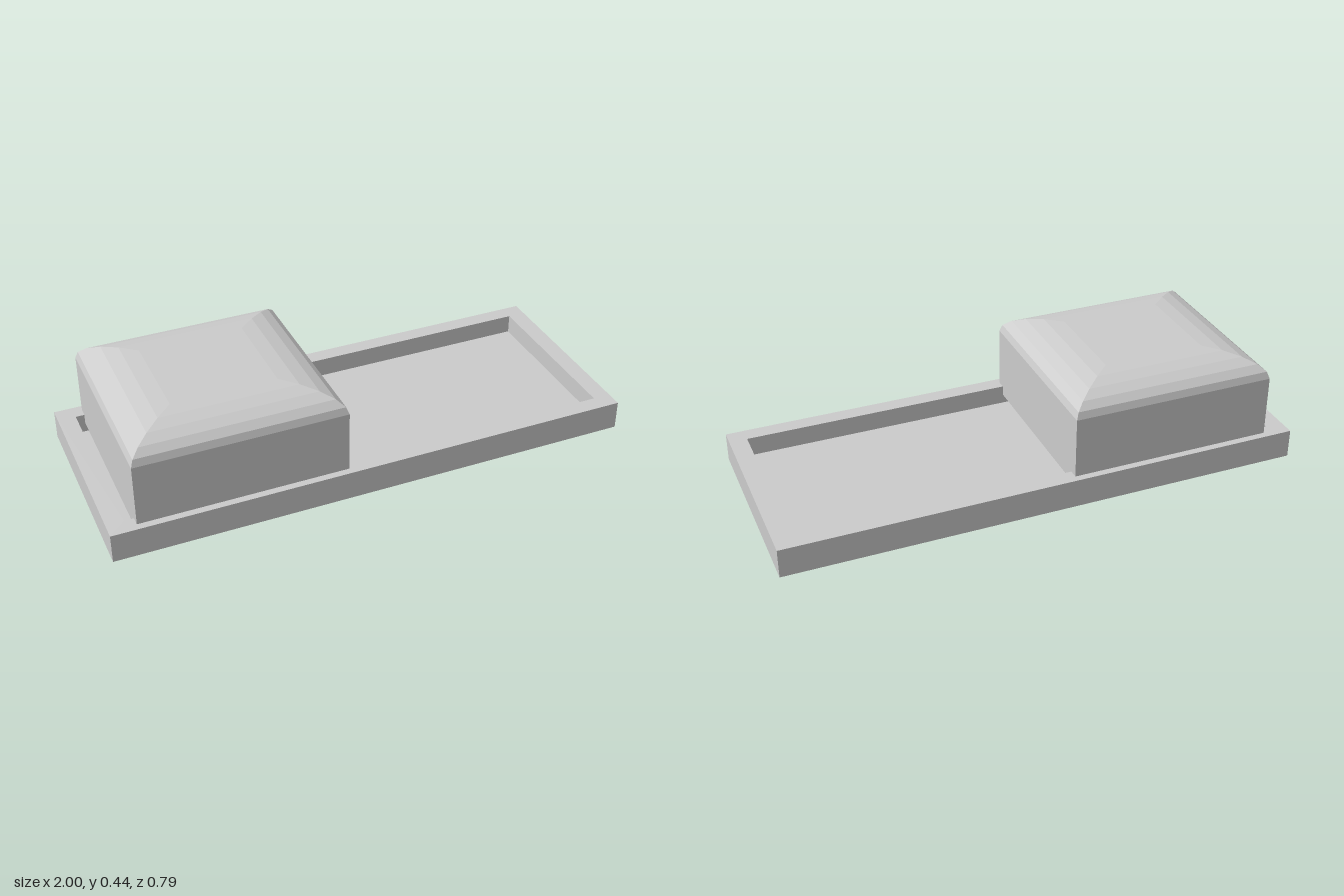
import * as THREE from 'three';

const material = new THREE.MeshStandardMaterial({ color: 0xcccccc, flatShading: true });

// Joins rectangular rings [halfX, halfZ, y] in order and caps both ends.
function loftRectangles(name, rings) {
  const corners = [[1, 1], [1, -1], [-1, -1], [-1, 1]]; // counter-clockwise from above
  const positions = [];
  const index = [];
  for (const [hx, hz, y] of rings) {
    for (const [sx, sz] of corners) positions.push(sx * hx, y, sz * hz);
  }
  for (let r = 0; r < rings.length - 1; r++) {
    for (let i = 0; i < 4; i++) {
      const a = r * 4 + i;
      const b = r * 4 + (i + 1) % 4;
      index.push(a, b, b + 4, a, b + 4, a + 4);
    }
  }
  const top = (rings.length - 1) * 4;
  index.push(0, 2, 1, 0, 3, 2, top, top + 1, top + 2, top, top + 2, top + 3);

  const indexed = new THREE.BufferGeometry();
  indexed.setAttribute('position', new THREE.Float32BufferAttribute(positions, 3));
  indexed.setIndex(index);
  const geometry = indexed.toNonIndexed();
  geometry.computeVertexNormals();
  const mesh = new THREE.Mesh(geometry, material);
  mesh.name = name;
  return mesh;
}

export function createModel() {
  const model = new THREE.Group();
  model.name = 'trayWithDomedBlock';

  // Shallow tray: outer wall, flat rim, inner wall, sunken floor
  model.add(loftRectangles('tray', [
    [1, 0.395, 0],
    [1, 0.395, 0.112],
    [0.932, 0.333, 0.112],
    [0.932, 0.333, 0.037],
  ]));

  // Block with straight sides and a mitred, elliptically rounded top
  const halfX = 0.394, halfZ = 0.368, shoulder = 0.349, rise = 0.089, steps = 5;
  const rings = [[halfX, halfZ, 0.074]];
  for (let i = 0; i <= steps; i++) {
    const angle = (i / steps) * Math.PI / 2;
    const inset = 0.5 + 0.5 * Math.cos(angle);
    rings.push([halfX * inset, halfZ * inset, shoulder + rise * Math.sin(angle)]);
  }
  const block = loftRectangles('domedBlock', rings);
  block.position.x = -0.505;
  model.add(block);

  return model;
}
